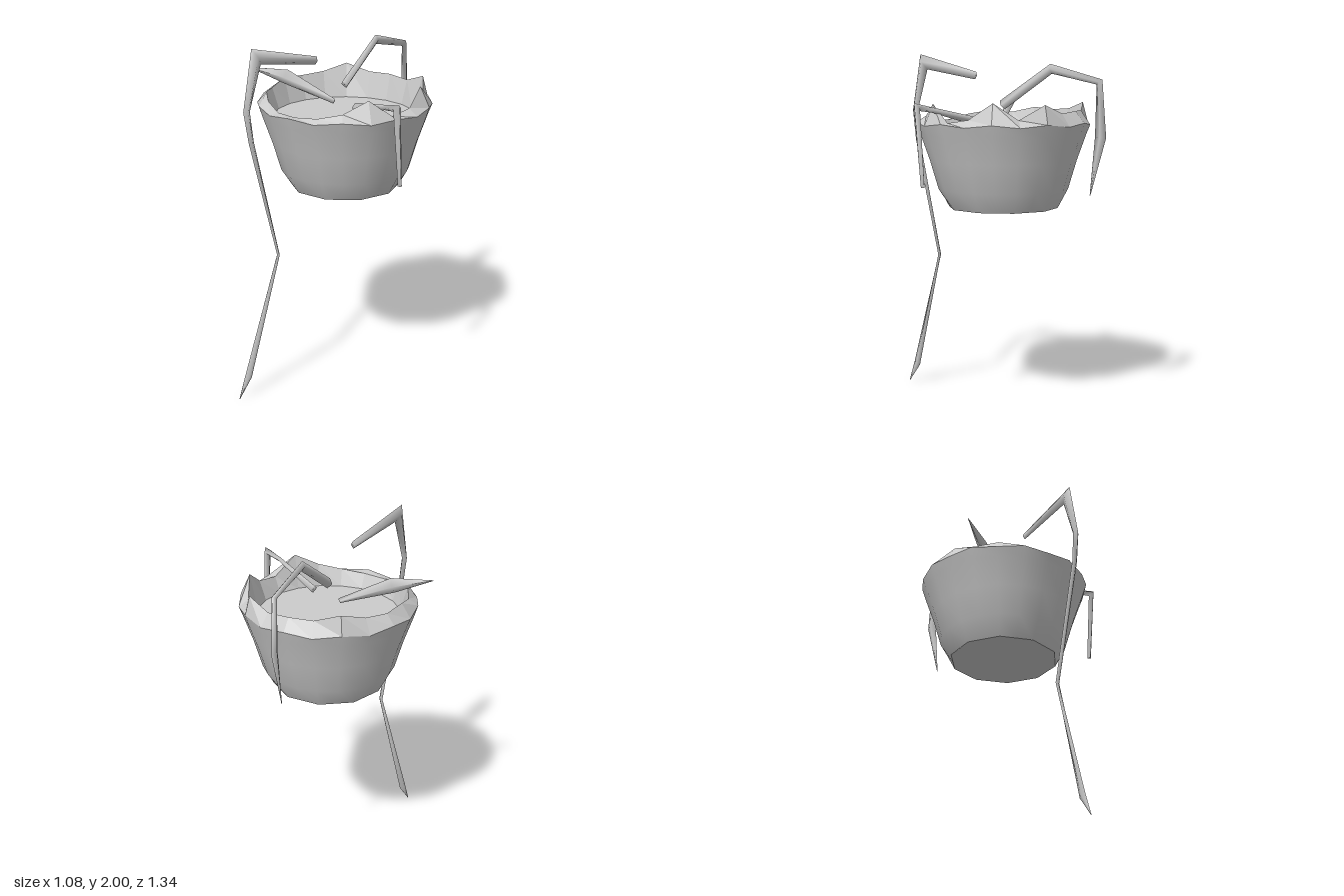
import * as THREE from 'three';

const N = 20; // pot sides
const CX = -0.01, CZ = -0.055; // pot axis

// Skin a list of rings (each an array of Vector3, counter-clockwise about the path)
function loft(rings, caps = false) {
  const n = rings[0].length, pos = [], idx = [];
  rings.forEach(r => r.forEach(p => pos.push(p.x, p.y, p.z)));
  for (let i = 0; i < rings.length - 1; i++) {
    for (let j = 0; j < n; j++) {
      const a = i * n + j, b = i * n + (j + 1) % n;
      idx.push(a, b, a + n, b, b + n, a + n);
    }
  }
  if (caps) {
    const e = (rings.length - 1) * n;
    for (let j = 1; j < n - 1; j++) idx.push(0, j + 1, j, e, e + j, e + j + 1);
  }
  const g = new THREE.BufferGeometry();
  g.setAttribute('position', new THREE.Float32BufferAttribute(pos, 3));
  g.setIndex(idx);
  g.computeVertexNormals();
  return g;
}

// Horizontal ring around the pot axis; radius and height are functions of the corner
function potRing(radius, height) {
  return Array.from({ length: N }, (_, j) => {
    const a = (j / N) * Math.PI * 2, r = radius(j);
    return new THREE.Vector3(CX + r * Math.cos(a), height(j), CZ - r * Math.sin(a));
  });
}
const levelRing = (r, y) => potRing(() => r, () => y);

// Angular stem: points are [x, y, z, half thickness, half width]
function stemGeometry(points) {
  const P = points.map(p => new THREE.Vector3(p[0], p[1], p[2]));
  const last = P.length - 1;
  const run = P[last].clone().sub(P[0]);
  const side = new THREE.Vector3(run.z, 0, -run.x).normalize();
  const direction = i => P[i + 1].clone().sub(P[i]).normalize();
  const rings = P.map((p, i) => {
    const d0 = direction(Math.max(i - 1, 0));
    const d1 = direction(Math.min(i, last - 1));
    const t = d0.clone().add(d1).normalize();
    const n = t.clone().cross(side).normalize();
    const thick = points[i][3] / t.dot(d0), wide = points[i][4];
    return [0, 1, 2, 3].map(k => {
      const a = k * Math.PI / 2;
      return p.clone()
        .addScaledVector(side, Math.cos(a) * wide)
        .addScaledVector(n, Math.sin(a) * thick);
    });
  });
  return loft(rings, true);
}

export function createModel() {
  const group = new THREE.Group();
  const smooth = new THREE.MeshStandardMaterial({ color: 0xcccccc });
  const faceted = new THREE.MeshStandardMaterial({ color: 0xcccccc, flatShading: true });
  const add = (name, geometry, material) => {
    const m = new THREE.Mesh(geometry, material);
    m.name = name;
    group.add(m);
    return m;
  };

  // Flared pot wall on a ten-sided foot
  const lip = potRing(() => 0.488, j => 1.61 + (j % 2) * 0.015);
  add('potWall', loft([
    potRing(j => (j % 2 ? 0.295 : 0.31), () => 1.14),
    levelRing(0.368, 1.25),
    levelRing(0.415, 1.41),
    levelRing(0.468, 1.56),
    lip,
  ]), smooth);

  // Flat underside
  const base = new THREE.CircleGeometry(0.31, N / 2);
  base.rotateX(Math.PI / 2);
  add('potBase', base, faceted).position.set(CX, 1.14, CZ);

  // Ragged rim folding inward and down to the soil
  const crest = [1.65, 1.74, 1.65, 1.73, 1.68, 1.69, 1.69, 1.73, 1.69, 1.68,
    1.69, 1.66, 1.67, 1.65, 1.62, 1.62, 1.63, 1.66, 1.73, 1.63];
  const rimRadius = j => (j === 3 || j === 7 ? 0.46 : 0.435);
  add('potRim', loft([
    lip,
    potRing(rimRadius, j => crest[j]),
    levelRing(0.397, 1.54),
  ]), faceted);

  // Soil disc
  const soil = new THREE.CircleGeometry(0.397, N);
  soil.rotateX(-Math.PI / 2);
  add('soil', soil, faceted).position.set(CX, 1.54, CZ);

  // Long front vine trailing to the ground
  add('longVine', stemGeometry([
    [-0.055, 1.878, 0.14, 0.022, 0.012],
    [-0.145, 1.955, 0.525, 0.038, 0.024],
    [-0.16, 1.67, 0.593, 0.02, 0.018],
    [-0.15, 1.5, 0.573, 0.016, 0.016],
    [-0.115, 0.82, 0.412, 0.008, 0.012],
    [-0.185, 0.12, 0.61, 0.024, 0.01],
    [-0.2, 0.0, 0.672, 0.002, 0.002],
  ]), smooth);

  // Arching back vine
  add('backVine', stemGeometry([
    [-0.008, 1.715, -0.05, 0.028, 0.022],
    [-0.01, 1.918, -0.345, 0.025, 0.02],
    [-0.01, 1.848, -0.628, 0.017, 0.016],
    [-0.01, 1.55, -0.638, 0.032, 0.016],
    [-0.012, 1.23, -0.58, 0.002, 0.002],
  ]), smooth);

  // Short pointed leaf-like shoot on the right
  add('rightShoot', stemGeometry([
    [-0.06, 1.615, -0.025, 0.014, 0.01],
    [-0.34, 1.73, 0.055, 0.042, 0.03],
    [-0.54, 1.768, 0.13, 0.002, 0.002],
  ]), smooth);

  // Drooping vine on the left
  add('leftVine', stemGeometry([
    [0.13, 1.625, 0.03, 0.024, 0.026],
    [0.42, 1.7, 0.165, 0.014, 0.015],
    [0.522, 1.718, 0.2, 0.018, 0.024],
    [0.525, 1.29, 0.167, 0.013, 0.013],
  ]), smooth);

  return group;
}
